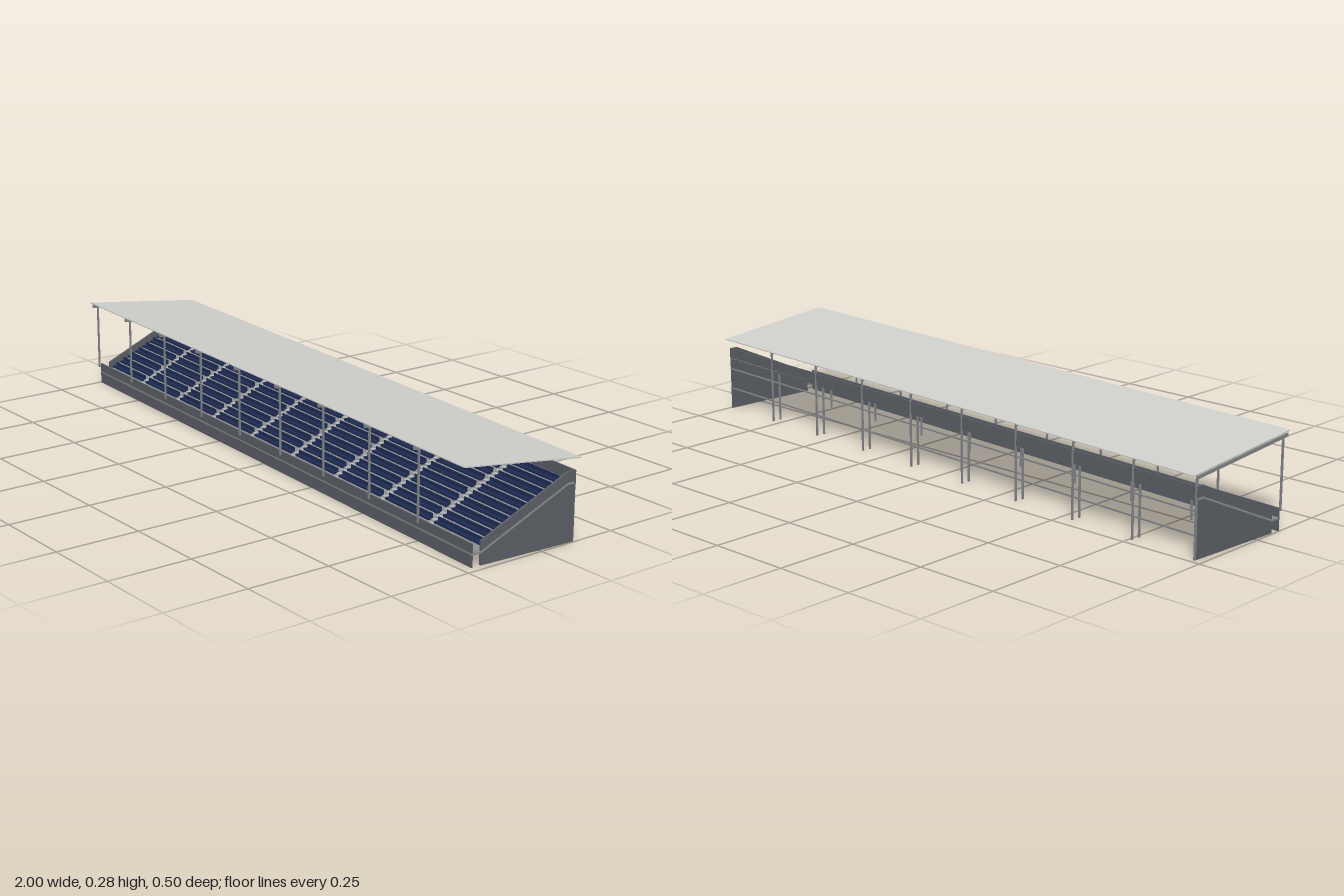
import * as THREE from 'three';
import { mergeGeometries } from 'three/addons/utils/BufferGeometryUtils.js';

const mat = (name, color) => {
  const m = new THREE.MeshStandardMaterial({ color });
  m.name = name;
  return m;
};

export function createModel() {
  const wall = mat('slate wall', 0x5c6168);
  const concrete = mat('concrete', 0x8a8b8c);
  const steel = mat('steel', 0x85878a);
  const roofing = mat('roof sheet', 0xd0d0cd);
  const seatBlue = mat('seat navy', 0x1f2c55);
  const stepGrey = mat('step light grey', 0xb4b6b8);

  const model = new THREE.Group();
  model.name = 'grandstand';
  const add = (name, geometry, material) => {
    const m = new THREE.Mesh(geometry, material);
    m.name = name;
    model.add(m);
    return m;
  };
  // Axis-aligned box from its size and centre
  const box = (w, h, d, x, y, z) => new THREE.BoxGeometry(w, h, d).translate(x, y, z);
  // Upright post between two heights
  const post = (x, z, y0, y1, s = 0.005) => box(s, y1 - y0, s, x, (y0 + y1) / 2, z);
  // Side profile of [z, y] points, extruded along x
  const profile = (points, width, x = 0) => {
    const shape = new THREE.Shape(points.map(([z, y]) => new THREE.Vector2(z, y)));
    return new THREE.ExtrudeGeometry(shape, { depth: width, bevelEnabled: false })
      .rotateY(-Math.PI / 2).translate(x + width / 2, 0, 0);
  };

  const L = 1.98, FRONT = 0.161, FOOT = 0.131, TOP = -0.151, BACK = -0.176;
  const slope = (0.167 - 0.039) / (FOOT - TOP);
  const slabY = (z) => 0.039 + (FOOT - z) * slope;
  const roofY = (z) => 0.253 + z * 0.116;

  // Raked deck: front walkway, slope and rear landing
  const deck = [[FRONT, 0.039], [FOOT, 0.039], [TOP, 0.167], [BACK, 0.167]];
  const under = deck.map(([z, y]) => [z, y - 0.006]).reverse();
  add('deck', profile([...deck, ...under], L), concrete);

  // Walls
  add('frontWall', box(L, 0.065, 0.004, 0, 0.0325, FRONT - 0.002), wall);
  add('backWall', box(L, 0.038, 0.004, 0, 0.179, BACK + 0.002), wall);
  for (const s of [-1, 1]) {
    const outline = [[FOOT, 0], [FOOT, 0.066], [TOP, 0.198], [BACK, 0.198], [BACK, 0]];
    add('sideWall', profile(outline, 0.006, s * 0.986), wall);
  }

  // Seats in ten rows, with a stepped aisle at every bay line
  const seats = [], steps = [];
  const ROWS = 10, BAY = 0.22, PER_BAY = 12;
  const pitch = (FOOT - TOP) / ROWS;
  for (let r = 0; r < ROWS; r++) {
    const z = FOOT - (r + 0.5) * pitch, y = slabY(z);
    for (let b = -4; b <= 4; b++) {
      for (let i = 0; i < PER_BAY; i++) {
        const x = b * BAY + (i - (PER_BAY - 1) / 2) * 0.0164;
        seats.push(box(0.0142, 0.006, 0.013, x, y + 0.006, z));
        seats.push(box(0.0142, 0.012, 0.003, x, y + 0.013, z - 0.008));
      }
    }
    for (let a = 0; a < 8; a++) {
      const x = (a - 3.5) * BAY;
      for (const k of [0.25, -0.25]) {
        const sz = z + k * pitch;
        steps.push(box(0.018, 0.008, pitch / 2, x, slabY(sz), sz));
      }
    }
  }
  add('seats', mergeGeometries(seats), seatBlue);
  add('aisleSteps', mergeGeometries(steps), stepGrey);

  // Frames: roof posts, rafters and columns under the deck
  const posts = [], rafters = [], columns = [];
  for (let i = 0; i < 9; i++) {
    const x = -0.987 + i * BAY - (i ? 0.003 : 0);
    posts.push(post(x, 0.167, 0.055, roofY(0.167) - 0.007));
    posts.push(post(x, -0.175, 0, roofY(-0.175) - 0.007));
    rafters.push(profile([
      [0.185, roofY(0.185) - 0.007], [-0.177, roofY(-0.177) - 0.007],
      [-0.177, roofY(-0.177) - 0.016], [0.185, roofY(0.185) - 0.017],
    ], 0.005, x));
    if (i === 0) continue;
    columns.push(post(x, -0.148, 0, 0.161));
    columns.push(post(x, 0.06, 0, slabY(0.06) - 0.005));
  }
  add('roofPosts', mergeGeometries(posts), steel);
  add('rafters', mergeGeometries(rafters), steel);
  add('deckColumns', mergeGeometries(columns), steel);

  // Rear horizontal rails
  for (const y of [0.066, 0.13]) add('rearRail', box(L, 0.004, 0.004, 0, y, BACK + 0.001), steel);

  // Sloping roof sheet
  const zs = 0.191;
  add('roof', profile([
    [zs, roofY(zs)], [-zs, roofY(-zs)], [-zs, roofY(-zs) - 0.003], [zs, roofY(zs) - 0.003],
  ], L), roofing);

  // The stand sits at a slight angle to the axes
  model.rotation.y = -0.0615;
  const root = new THREE.Group();
  root.name = 'grandstandRoot';
  root.add(model);
  return root;
}
